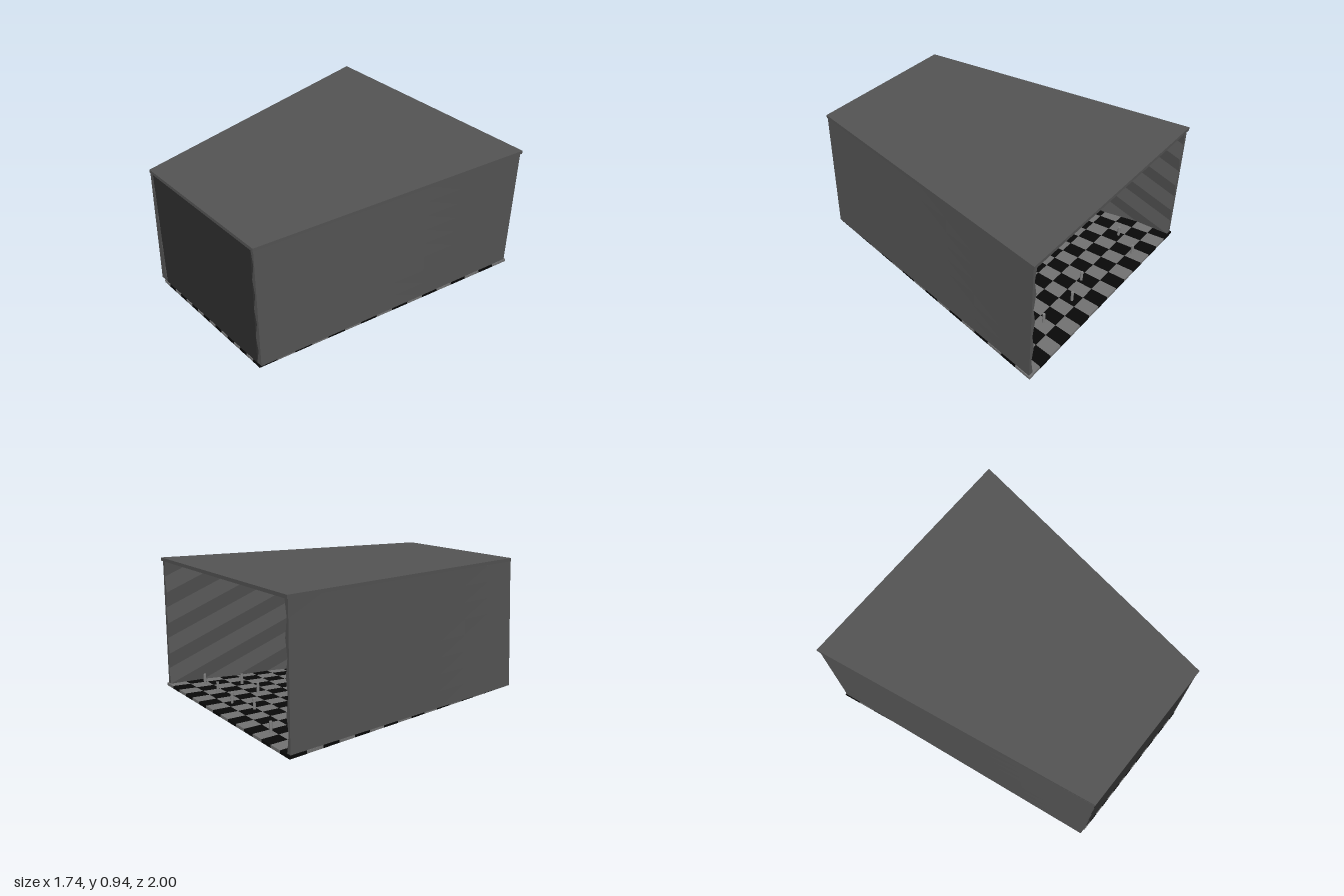
import * as THREE from 'three';
import { mergeGeometries } from 'three/addons/utils/BufferGeometryUtils.js';

const lerp = THREE.MathUtils.lerp;
const FRONT = 0.55, BACK = 0.87; // half widths of the tapered plan
const halfAt = (z) => lerp(FRONT, BACK, (1 - z) / 2);

// Prism from plan corners [x, z], between two heights
function prism(corners, y0, y1) {
  const shape = new THREE.Shape(corners.map(([x, z]) => new THREE.Vector2(x, -z)));
  const g = new THREE.ExtrudeGeometry(shape, { depth: y1 - y0, bevelEnabled: false });
  return g.rotateX(-Math.PI / 2).translate(0, y0, 0);
}

// Side wall: plain leaning outer face, folded parallelogram relief inside
function wallGeometry(side, frontBottom, frontTop) {
  const n = 8, pos = [];
  const point = (i, j, inner) => {
    const t = i / n, v = j / n;
    const z = lerp(-0.99, 0.995, t), y = lerp(0.02, 0.912, v);
    const x = inner
      ? lerp(0.845, 0.54, t) - ((i + j) % 2 === 0 ? 0.02 : 0)
      : lerp(0.862, lerp(frontBottom, frontTop, v), t);
    return [side * x, y, z];
  };
  const tri = (a, b, c) => (side > 0 ? pos.push(...a, ...b, ...c) : pos.push(...a, ...c, ...b));
  const quad = (a, b, c, d) => { tri(a, b, c); tri(a, c, d); };
  for (let i = 0; i < n; i++) {
    for (let j = 0; j < n; j++) {
      // the constant diagonal makes neighbouring triangles pair into flat parallelograms
      quad(point(i, j, true), point(i + 1, j, true), point(i + 1, j + 1, true), point(i, j + 1, true));
      quad(point(i, j, false), point(i, j + 1, false), point(i + 1, j + 1, false), point(i + 1, j, false));
    }
    // end, bottom and top edges
    quad(point(n, i, true), point(n, i, false), point(n, i + 1, false), point(n, i + 1, true));
    quad(point(0, i, false), point(0, i, true), point(0, i + 1, true), point(0, i + 1, false));
    quad(point(i, 0, false), point(i + 1, 0, false), point(i + 1, 0, true), point(i, 0, true));
    quad(point(i, n, true), point(i + 1, n, true), point(i + 1, n, false), point(i, n, false));
  }
  const g = new THREE.BufferGeometry();
  g.setAttribute('position', new THREE.Float32BufferAttribute(pos, 3));
  g.computeVertexNormals();
  return g;
}

export function createModel() {
  const room = new THREE.Group();
  room.name = 'room';
  const material = (name, color, extra = {}) => {
    const m = new THREE.MeshStandardMaterial({ color, ...extra });
    m.name = name;
    return m;
  };
  const wallGrey = material('wallGrey', 0x535353, { side: THREE.DoubleSide });
  const darkGrey = material('darkGrey', 0x2e2e2e);
  const tileBlack = material('tileBlack', 0x080808);
  const tileGrey = material('tileGrey', 0x717171);
  const stageGrey = material('stageGrey', 0xbababa);
  const postGrey = material('postGrey', 0x808080);
  const add = (name, geometry, mat) => {
    const mesh = new THREE.Mesh(geometry, mat);
    mesh.name = name;
    room.add(mesh);
    return mesh;
  };

  // Chequered floor whose tiles narrow towards the front
  const tiles = [[], []], n = 16;
  for (let r = 0; r < n; r++) {
    const z0 = 1 - (2 * r) / n, z1 = 1 - (2 * (r + 1)) / n;
    for (let c = 0; c < n; c++) {
      const u0 = (2 * c) / n - 1, u1 = (2 * (c + 1)) / n - 1;
      const corners = [[u0 * halfAt(z0), z0], [u1 * halfAt(z0), z0], [u1 * halfAt(z1), z1], [u0 * halfAt(z1), z1]];
      tiles[(r + c + 1) % 2].push(prism(corners, 0, 0.02));
    }
  }
  add('floorTilesBlack', mergeGeometries(tiles[0]), tileBlack);
  add('floorTilesGrey', mergeGeometries(tiles[1]), tileGrey);

  // Roof slab
  add('roof', prism([[-FRONT, 1], [FRONT, 1], [BACK, -1], [-BACK, -1]], 0.912, 0.935), wallGrey);

  // Walls; the back is open
  add('leftWall', wallGeometry(1, 0.562, 0.547), wallGrey);
  add('rightWall', wallGeometry(-1, 0.59, 0.552), wallGrey);
  add('frontWall', new THREE.BoxGeometry(1.04, 0.892, 0.015).translate(0, 0.466, 0.988), darkGrey);

  // Low stage at the front end, with a post at each near corner
  const stageSide = (z) => halfAt(z) - 0.06;
  add('stage', prism([
    [-stageSide(0.8), 0.8], [stageSide(0.8), 0.8], [stageSide(0.15), 0.15], [-stageSide(0.15), 0.15],
  ], 0.02, 0.08), stageGrey);
  for (const s of [-1, 1]) {
    add('stagePost', new THREE.BoxGeometry(0.02, 0.4, 0.02).translate(s * 0.59, 0.28, 0.22), tileBlack);
  }

  // Small posts scattered over the floor
  const spots = [
    [0.68, -0.79], [0.45, -0.8], [0.53, -0.57], [0.27, -0.58], [0.17, -0.83], [-0.03, -0.77],
    [-0.48, -0.9], [-0.59, -0.72], [0.25, -0.02], [0.41, -0.15], [-0.12, -0.03], [-0.3, -0.4],
  ];
  for (const [x, z] of spots) {
    add('floorPost', new THREE.CylinderGeometry(0.01, 0.01, 0.075, 8).translate(x, 0.057, z), postGrey);
  }
  return room;
}
